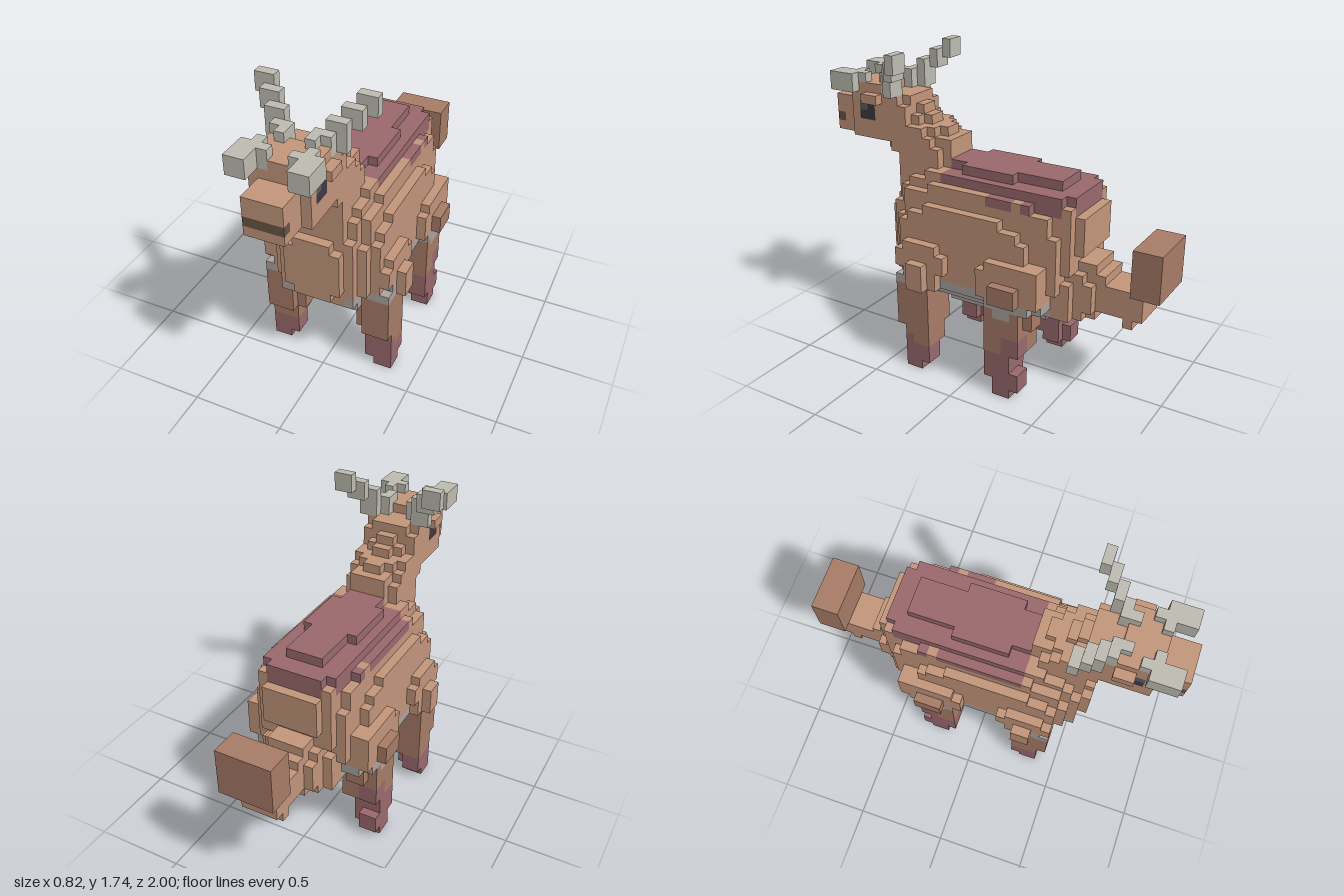
import * as THREE from 'three';

const U = 2 / 39; // voxel size: 39 voxels from nose (k = 0) to tail (k = 39)
const BROWN = 0xc4977c, PLUM = 0x9b6a6e, GREY = 0xc0beb3, SHIN = 0xa97d68;

export function createModel() {
  const vox = new Map();
  const key = (i, j, k) => `${i},${j},${k}`;
  const parts = {};

  // Fill voxels i0..i1 (x), j0..j1 (up), k0..k1 (nose to tail); the later part wins.
  function fill(part, i0, i1, j0, j1, k0, k1) {
    for (let i = i0; i < i1; i++)
      for (let j = j0; j < j1; j++)
        for (let k = k0; k < k1; k++) vox.set(key(i, j, k), { part, i, j, k });
  }
  // Centred block of half width w
  const mid = (part, w, ...r) => fill(part, -w, w, ...r);
  // Mirrored pair of blocks
  function pair(name, i0, i1, ...r) {
    fill(name + 'Left', i0, i1, ...r);
    fill(name + 'Right', -i1, -i0, ...r);
  }
  // Recolour existing voxels only
  function paint(part, i0, i1, j0, j1, k0, k1) {
    for (const v of vox.values())
      if (v.i >= i0 && v.i < i1 && v.j >= j0 && v.j < j1 && v.k >= k0 && v.k < k1) v.part = part;
  }
  function paintPair(part, i0, i1, ...r) {
    paint(part, i0, i1, ...r);
    paint(part, -i1, -i0, ...r);
  }
  const color = (c, ...names) => names.forEach(n => { parts[n] = c; });

  color(BROWN, 'body', 'neck', 'head', 'tail', 'earLeft', 'earRight',
    'shoulderLeft', 'shoulderRight', 'thighLeft', 'thighRight');
  color(SHIN, 'frontLegLeft', 'frontLegRight', 'hindLegLeft', 'hindLegRight', 'tailTip');
  color(PLUM, 'backPatch', 'frontHoofLeft', 'frontHoofRight', 'hindHoofLeft', 'hindHoofRight');
  color(GREY, 'antlerLeft', 'antlerRight');
  color(0xaca6a2, 'belly');
  color(0x6a5546, 'mouth');
  color(0x403a40, 'eyeLeft', 'eyeRight');
  color(0x625d60, 'eyeGlintLeft', 'eyeGlintRight');

  // Terraced body: half width, j range, k range
  [
    [3, 12, 17, 8, 30], [2, 17, 18, 8, 30], [2, 11, 12, 8, 30],
    [4, 10, 18, 9, 29], [3, 18, 20, 9, 30], [4, 18, 20, 10, 29], [4, 20, 21, 11, 30],
    [4, 14, 20, 29, 30], [3, 9, 14, 29, 30],
    [3, 21, 22, 11, 30], [4, 21, 22, 13, 29],
    [3, 16, 20, 30, 31],
    [5, 11, 17, 10, 28], [5, 10, 19, 11, 28], [5, 12, 18, 28, 29],
    [5, 19, 20, 11, 28], [5, 20, 21, 14, 26],
    [6, 10, 15, 11, 28], [6, 15, 17, 11, 26], [6, 17, 18, 12, 25], [6, 18, 19, 14, 23],
    [2, 22, 23, 15, 28], [3, 22, 23, 17, 23],
  ].forEach(b => mid('body', ...b));

  // Dark patch along the back
  paint('backPatch', -4, 4, 21, 24, 15, 31);
  paint('backPatch', -5, 5, 20, 21, 25, 29);
  paint('backPatch', -3, 3, 20, 21, 29, 31);
  paint('backPatch', -5, -4, 20, 21, 15, 24);
  paint('backPatch', 4, 5, 20, 21, 21, 24);

  // Pale belly
  mid('belly', 6, 10, 11, 11, 28);
  mid('belly', 5, 9, 10, 11, 27);
  mid('belly', 4, 9, 10, 10, 28);
  mid('belly', 4, 8, 9, 16, 22);
  mid('belly', 3, 8, 9, 25, 27);
  paintPair('belly', 3, 6, 9, 11, 9, 12);

  // Shoulders and thighs
  [[6, 7, 12, 14, 11, 17], [6, 7, 10, 12, 12, 16], [6, 7, 14, 15, 12, 16], [7, 8, 10, 13, 13, 15]]
    .forEach(b => pair('shoulder', ...b));
  [[6, 7, 11, 14, 21, 28], [6, 7, 14, 15, 22, 28], [6, 7, 10, 11, 22, 27]]
    .forEach(b => pair('thigh', ...b));
  pair('hindLeg', 7, 8, 11, 13, 23, 26);

  // Legs and hooves
  pair('frontLeg', 3, 4, 5, 10, 12, 15);
  pair('frontLeg', 4, 7, 5, 10, 11, 15);
  pair('frontLeg', 4, 7, 3, 5, 12, 15);
  pair('frontHoof', 4, 7, 1, 3, 12, 14);
  pair('frontHoof', 5, 7, 1, 3, 14, 15);
  pair('frontHoof', 5, 7, 0, 1, 12, 14);
  paint('frontHoofLeft', 4, 7, 3, 4, 12, 13);
  pair('hindLeg', 3, 4, 5, 10, 23, 26);
  pair('hindLeg', 4, 7, 5, 10, 22, 26);
  pair('hindLeg', 4, 6, 8, 10, 26, 27);
  pair('hindHoof', 4, 7, 2, 5, 22, 25);
  pair('hindHoof', 4, 7, 1, 2, 23, 25);
  pair('hindHoof', 5, 7, 1, 3, 25, 26);
  pair('hindHoof', 5, 7, 0, 1, 23, 25);
  paintPair('hindHoofLeft', 5, 7, 5, 7, 24, 26);

  // Pale tops of the legs
  fill('belly', -7, 7, 10, 11, 11, 13);
  paintPair('belly', 6, 7, 11, 12, 12, 13);
  paintPair('belly', 6, 7, 10, 11, 22, 27);
  paintPair('belly', 6, 7, 9, 10, 23, 25);

  // Neck rises in narrowing steps: j, front k, then rear k at half width 3, 2, 1
  [[18, 9, 12, 13, 13], [19, 9, 13, 14, 14], [20, 9, 14, 15, 15], [21, 9, 14, 15, 15],
    [22, 9, 14, 15, 15], [23, 8, 14, 15, 15], [24, 7, 13, 15, 15], [25, 7, 12, 13, 14],
    [26, 7, 10, 11, 12], [27, 7, 10, 10, 11], [28, 7, 9, 10, 10]]
    .forEach(([j, f, ...rear]) => rear.forEach((r, n) => mid('neck', 3 - n, j, j + 1, f, r)));
  mid('neck', 2, 23, 24, 7, 8);
  mid('neck', 1, 22, 23, 8, 9);

  // Head, mouth, eyes, ears
  mid('head', 3, 24, 30, 3, 7);
  mid('head', 2, 24, 28, 0, 3);
  mid('mouth', 2, 25, 26, 0, 1);
  pair('eye', 2, 3, 26, 28, 4, 6);
  pair('eyeGlint', 2, 3, 27, 28, 4, 5);
  pair('ear', 3, 4, 28, 29, 5, 7);

  // Antlers: a front tine and a stepped back branch
  [
    [2, 4, 29, 31, 1, 4], [2, 3, 30, 31, 4, 5], [1, 2, 29, 31, 3, 4],
    [1, 2, 30, 31, 6, 7], [1, 3, 29, 31, 7, 8], [2, 4, 29, 32, 8, 9],
    [3, 5, 31, 33, 9, 10], [4, 6, 32, 34, 10, 11],
  ].forEach(b => pair('antler', ...b));

  // Tail with stepped root and a block at its tip
  [[4, 9, 13, 28, 30], [3, 9, 14, 30, 31], [2, 14, 15, 30, 32], [3, 10, 13, 31, 32],
    [2, 9, 14, 31, 32], [2, 10, 14, 32, 33], [2, 10, 13, 33, 37], [2, 9, 10, 35, 36]]
    .forEach(b => mid('tail', ...b));
  mid('tailTip', 3, 13, 18, 36, 39);

  // Turn exposed voxel faces into one mesh per part
  const buffers = {};
  for (const { part, i, j, k } of vox.values()) {
    const b = buffers[part] ??= { pos: [], nor: [] };
    const c = [(i + 0.5) * U, (j + 0.5) * U, 1 - (k + 0.5) * U];
    for (let a = 0; a < 3; a++) for (const s of [-1, 1]) {
      const n = [0, 0, 0];
      n[a] = s;
      if (vox.has(key(i + n[0], j + n[1], k - n[2]))) continue;
      const p = (a + 1) % 3, q = (a + 2) % 3;
      const quad = [[-1, -1], [1, -1], [1, 1], [-1, -1], [1, 1], [-1, 1]];
      for (const [u, v] of quad) {
        const pt = [...c];
        pt[a] += s * U / 2;
        pt[p] += s * u * U / 2;
        pt[q] += v * U / 2;
        b.pos.push(...pt);
        b.nor.push(...n);
      }
    }
  }
  const group = new THREE.Group();
  group.name = 'deer';
  for (const [name, { pos, nor }] of Object.entries(buffers)) {
    if (!pos.length) continue;
    const geo = new THREE.BufferGeometry();
    geo.setAttribute('position', new THREE.Float32BufferAttribute(pos, 3));
    geo.setAttribute('normal', new THREE.Float32BufferAttribute(nor, 3));
    const mesh = new THREE.Mesh(geo, new THREE.MeshStandardMaterial({ color: parts[name] }));
    mesh.name = name;
    group.add(mesh);
  }
  return group;
}
